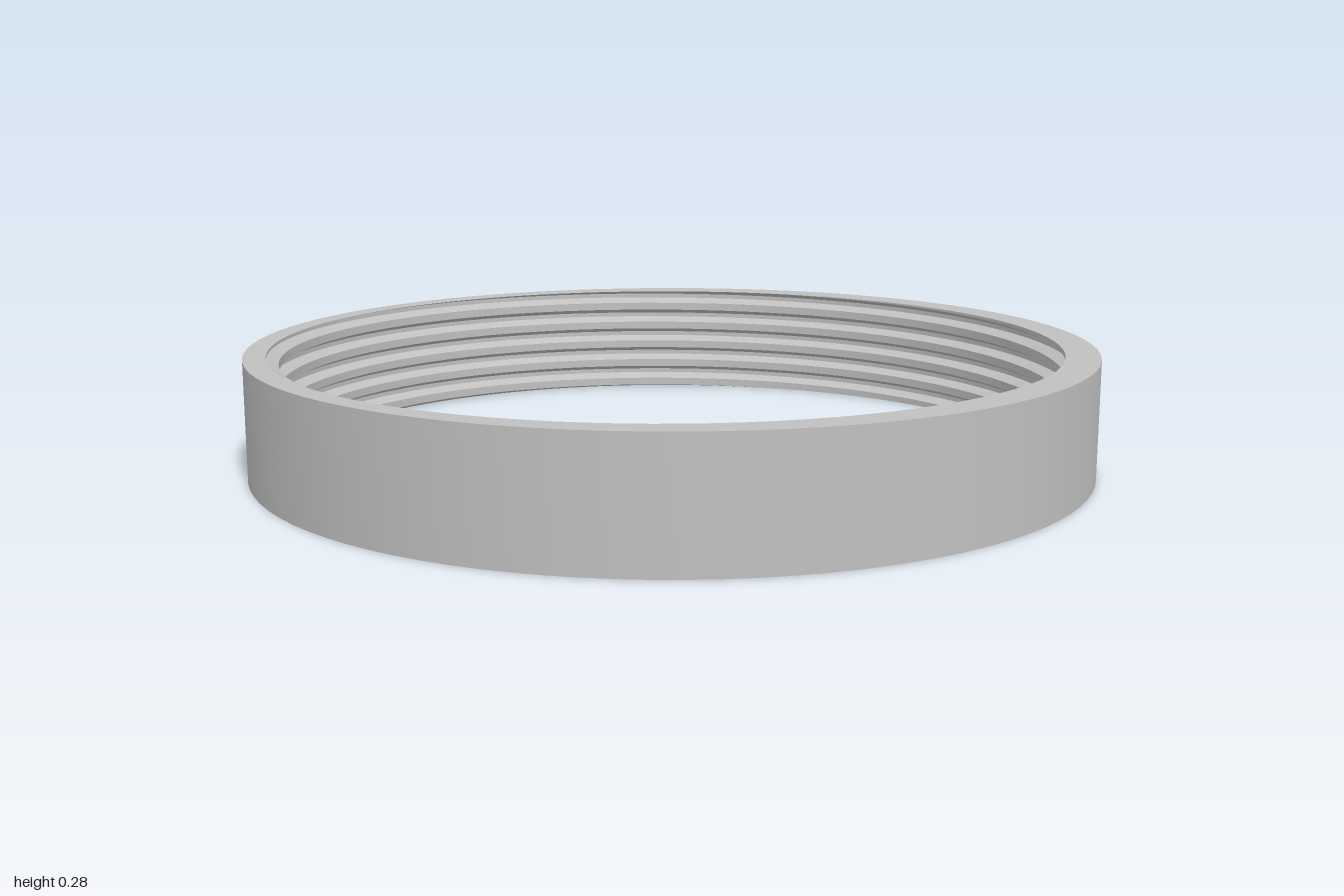
import * as THREE from 'three';
import { toCreasedNormals } from 'three/addons/utils/BufferGeometryUtils.js';

const HEIGHT = 0.28, OUTER = 1, CREST = 0.92, ROOT = 0.948, PITCH = 0.056, SEGMENTS = 96;

// Phase of the helix: whole numbers lie in the middle of a groove.
const turn = (angle) => (angle - Math.PI) / (2 * Math.PI);

// Bore radius of the trapezoidal thread at a height and angle.
function boreRadius(y, angle) {
  const t = (y - HEIGHT) / PITCH - turn(angle);
  const d = Math.abs(t - Math.round(t));
  return THREE.MathUtils.lerp(ROOT, CREST, THREE.MathUtils.clamp((d - 0.1) / 0.22, 0, 1));
}

// Sweeps a cross-section that may change with the angle around the y axis.
// section(angle) returns a list of [radius, y].
function sweep(section) {
  const columns = [];
  for (let i = 0; i <= SEGMENTS; i++) {
    const a = (i / SEGMENTS) * Math.PI * 2;
    columns.push(section(a).map(([r, y]) => new THREE.Vector3(r * Math.cos(a), y, -r * Math.sin(a))));
  }
  const positions = [];
  const triangle = (a, b, c) => {
    if (new THREE.Triangle(a, b, c).getArea() < 1e-8) return;
    for (const p of [a, b, c]) positions.push(p.x, p.y, p.z);
  };
  for (let i = 0; i < SEGMENTS; i++) {
    const p = columns[i], q = columns[i + 1];
    for (let j = 0; j < p.length - 1; j++) {
      triangle(p[j], p[j + 1], q[j + 1]);
      triangle(p[j], q[j + 1], q[j]);
    }
  }
  const geometry = new THREE.BufferGeometry();
  geometry.setAttribute('position', new THREE.Float32BufferAttribute(positions, 3));
  return toCreasedNormals(geometry, 0.4);
}

export function createModel() {
  const group = new THREE.Group();
  group.name = 'threadedRing';
  const metal = new THREE.MeshStandardMaterial({ color: 0xc0c0c0 });
  metal.name = 'grey metal';

  const add = (name, section) => {
    const mesh = new THREE.Mesh(sweep(section), metal);
    mesh.name = name;
    group.add(mesh);
  };

  // Helical thread inside, its rows cut off by the flat ends of the ring
  add('threadedBore', (angle) => {
    const rows = [];
    for (let k = -7; k <= 1; k++) {
      for (const u of [-0.1, 0.1, 0.32, 0.68]) {
        const y = THREE.MathUtils.clamp(HEIGHT + PITCH * (k + u + turn(angle)), 0, HEIGHT);
        rows.push([boreRadius(y, angle), y]);
      }
    }
    return rows;
  });

  // Flat top rim, smooth outside wall and flat bottom rim
  add('outerBand', (angle) => [
    [boreRadius(HEIGHT, angle), HEIGHT],
    [OUTER, HEIGHT],
    [OUTER, 0],
    [boreRadius(0, angle), 0],
  ]);

  return group;
}
